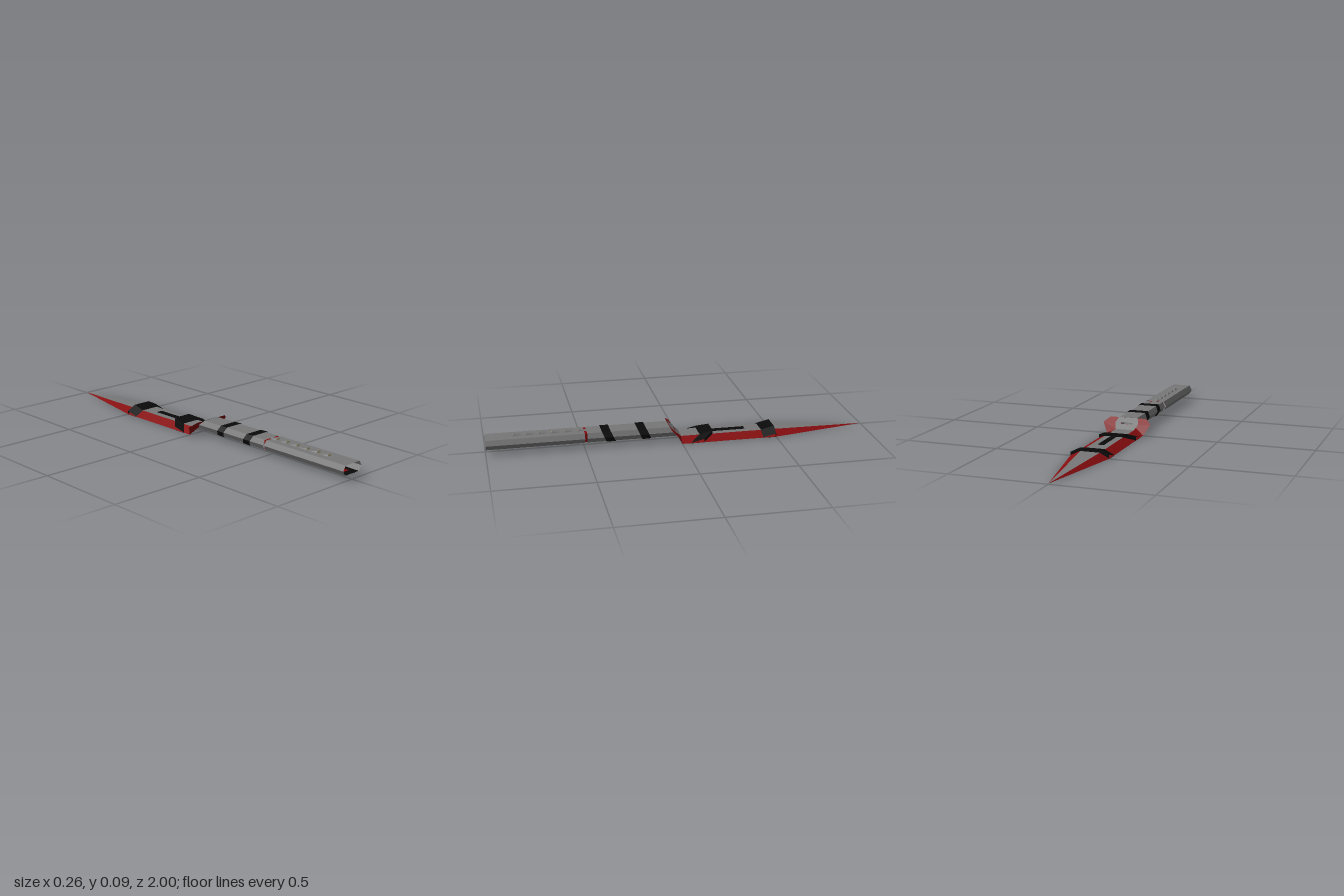
import * as THREE from 'three';

const mat = (name, color) => new THREE.MeshStandardMaterial({ name, color, flatShading: true, side: THREE.DoubleSide });

// Surface through rows of [x, y, z] points
function loft(rows, closed = false) {
  const n = rows[0].length, idx = [];
  for (let r = 0; r < rows.length - 1; r++) {
    for (let i = 0; i < (closed ? n : n - 1); i++) {
      const a = r * n + i, b = r * n + (i + 1) % n;
      idx.push(a, b, a + n, b, b + n, a + n);
    }
  }
  const g = new THREE.BufferGeometry();
  g.setAttribute('position', new THREE.Float32BufferAttribute(rows.flat(2), 3));
  g.setIndex(idx);
  g.computeVertexNormals();
  return g;
}

// Depth of the slanted guard at a given height
const slopeZ = y => Math.max(0, (y - 0.025) * 1.1);

export function createModel() {
  const model = new THREE.Group();
  const grey = mat('steelGrey', 0x777777);
  const red = mat('darkRed', 0x850c0e);
  const black = mat('black', 0x0a0a0a);
  const cream = mat('cream', 0xb5ad80);
  const add = (name, geo, material, parent = model) => {
    const m = new THREE.Mesh(geo, material);
    m.name = name;
    parent.add(m);
    return m;
  };

  // Blade: open shell with a flat grey spine and red bevels
  const tip = [0, 0.002, -1];
  add('bladeSpine', loft([
    [[-0.05, 0.025, 0], [0.05, 0.025, 0]],
    [[-0.05, 0.025, -0.5], [0.05, 0.025, -0.5]],
    [tip, tip]]), grey);
  for (const s of [1, -1]) {
    add(s > 0 ? 'leftBevel' : 'rightBevel', loft([
      [[s * 0.05, 0.025, 0], [s * 0.1, 0, 0]],
      [[s * 0.05, 0.025, -0.5], [s * 0.1, 0, -0.5]],
      [tip, tip]]), red);
  }

  // Blade bands: rising wraps on top, flat paint underneath
  const bandRow = (zMid, zEdge, lift) => [
    [-0.1, lift, zEdge], [-0.05, 0.025 + lift, zMid],
    [0.05, 0.025 + lift, zMid], [0.1, lift, zEdge]];
  for (const [name, mid, edge] of [['rearBladeBand', -0.1, -0.045], ['frontBladeBand', -0.43, -0.43]]) {
    const width = 0.07;
    add(name, loft([
      bandRow(mid, edge, 0.002),
      bandRow(mid - width, edge - width, 0.018),
      bandRow(mid - width, edge - width, 0.001)]), black);
    add(name + 'Underside', loft([
      bandRow(mid, edge, -0.001),
      bandRow(mid - width, edge - width, -0.001)]), black);
  }

  // Slot along the blade
  const slot = add('bladeSlot', new THREE.BoxGeometry(0.03, 0.006, 0.2), black);
  slot.position.set(0, 0.025, -0.25);

  // Slanted guard with a slit
  const slopePlate = (pts, dz) => {
    const shape = new THREE.Shape(pts.map(p => new THREE.Vector2(...p)));
    shape.holes.push(new THREE.Path(
      [[-0.032, 0.048], [-0.032, 0.055], [0.032, 0.055], [0.032, 0.048]].map(p => new THREE.Vector2(...p))));
    const g = new THREE.ShapeGeometry(shape), p = g.attributes.position;
    for (let i = 0; i < p.count; i++) p.setZ(i, slopeZ(p.getY(i)) + dz);
    g.computeVertexNormals();
    return g;
  };
  add('guard', slopePlate([[-0.05, 0.025], [-0.1, 0], [-0.13, 0.051], [-0.1, 0.076],
    [0.1, 0.076], [0.13, 0.051], [0.1, 0], [0.05, 0.025]], 0), red);
  add('guardRamp', slopePlate([[-0.05, 0.025], [-0.064, 0.052], [-0.052, 0.077],
    [0.052, 0.077], [0.064, 0.052], [0.05, 0.025]], -0.003), grey);

  // Handle: hollow six-sided tube in two lengths, open at the end
  const hex = (w, grow, zOf) => [[0.05, 0.077], [0.065, 0.052], [0.05, 0.027],
    [-0.05, 0.027], [-0.065, 0.052], [-0.05, 0.077]].map(([x, y]) => {
    const yy = 0.052 + (y - 0.052) * (1 + grow * 40);
    return [x * w + Math.sign(x) * grow, yy, zOf(y)];
  });
  add('frontHandle', loft([hex(0.95, 0, slopeZ), hex(0.95, 0, () => 0.485)], true), grey);
  add('rearHandle', loft([hex(1, 0, () => 0.498), hex(1, 0, () => 1)], true), grey);
  const joint = add('handleJoint', new THREE.BoxGeometry(0.094, 0.046, 0.016), red);
  joint.position.set(0, 0.052, 0.491);
  joint.geometry.deleteAttribute('uv');

  // Slanted wraps around the handle
  for (const z of [0.19, 0.375]) {
    const lean = dz => y => z + dz + (y - 0.052) * 0.5;
    add('handleBand', loft([hex(0.95, 0.002, lean(-0.023)), hex(0.95, 0.003, lean(0.023))], true), black);
  }

  // Dark base patch near the open end
  const patch = add('endPatch', new THREE.BoxGeometry(0.09, 0.004, 0.08), black);
  patch.position.set(0, 0.0275, 0.958);
  const mark = add('endMark', new THREE.BoxGeometry(0.035, 0.006, 0.03), red);
  mark.position.set(0, 0.0275, 0.95);

  // Row of ridged thumb grips
  const grips = new THREE.Group();
  grips.name = 'thumbGrips';
  model.add(grips);
  for (let i = 0; i < 6; i++) {
    const z = 0.53 + i * 0.066;
    const face = [[-0.015, 0.077, z], [-0.008, 0.086, z], [0.008, 0.086, z], [0.015, 0.077, z]];
    add('gripRidge', loft([face, face.map(([x]) => [x, 0.0775, z - 0.045])]), grey, grips);
    add('gripFace', loft([[face[0], face[3]], [face[1], face[2]]]), cream, grips);
  }
  return model;
}
